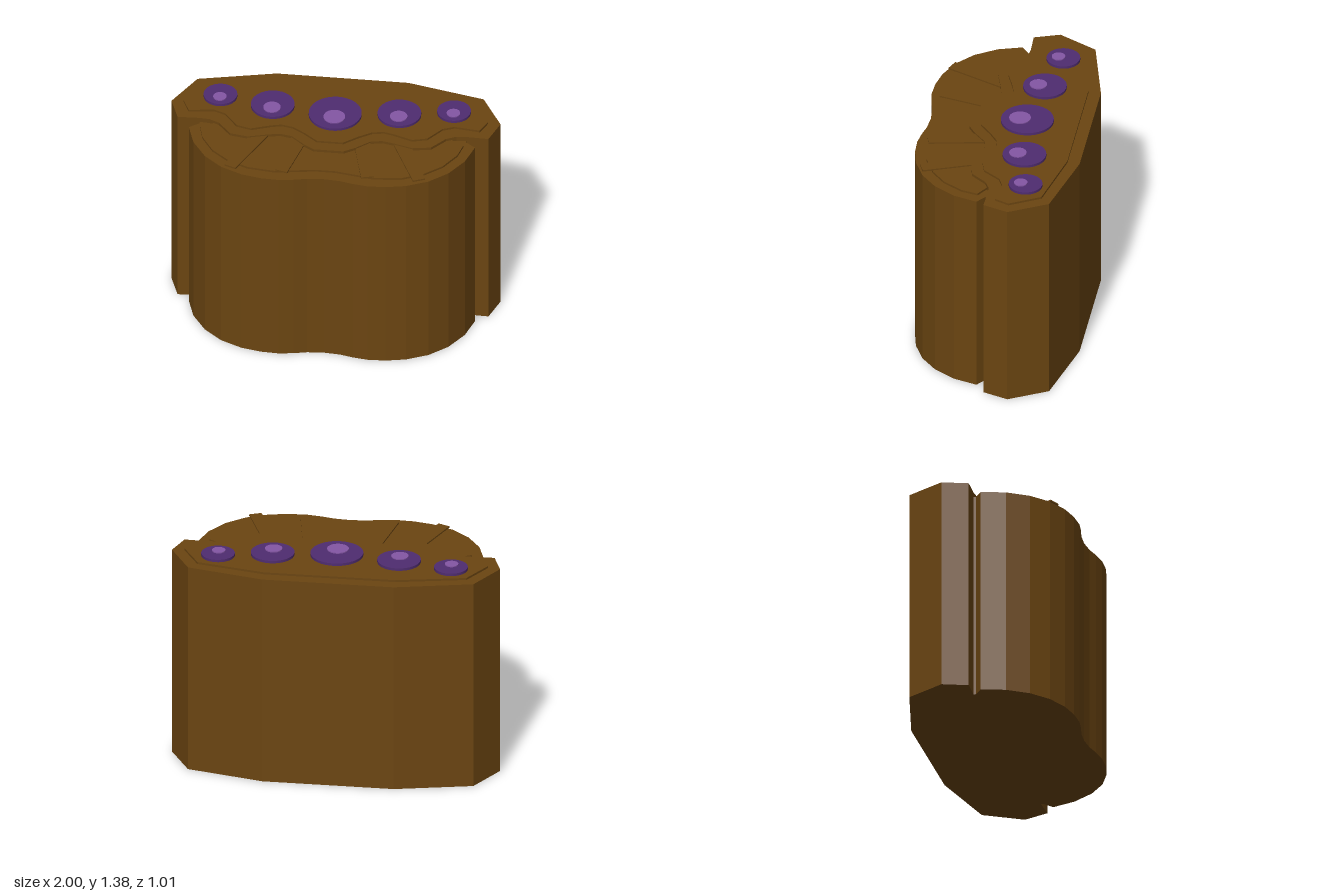
import * as THREE from 'three';

// Extrude a plan outline of [x, z] points between two heights
function slab(points, y0, y1) {
  const shape = new THREE.Shape(points.map(([x, z]) => new THREE.Vector2(x, -z)));
  const geo = new THREE.ExtrudeGeometry(shape, { depth: y1 - y0, bevelEnabled: false });
  geo.rotateX(-Math.PI / 2);
  geo.translate(0, y0, 0);
  return geo;
}

// Complete a right-half outline (listed back to front) by mirroring it across x = 0
function mirrored(half) {
  const other = half.filter(([x]) => x !== 0).map(([x, z]) => [-x, z]).reverse();
  return [...half, ...other];
}

export function createModel() {
  const group = new THREE.Group();
  const brown = new THREE.MeshStandardMaterial({ color: 0x6b4511, flatShading: true });
  brown.name = 'brown';
  const purple = new THREE.MeshStandardMaterial({ color: 0x4f2c70 });
  purple.name = 'deep purple';
  const lilac = new THREE.MeshStandardMaterial({ color: 0x8456a4 });
  lilac.name = 'lilac';

  const add = (name, geo, mat) => {
    const mesh = new THREE.Mesh(geo, mat);
    mesh.name = name;
    group.add(mesh);
    return mesh;
  };

  // Body: faceted back, side notches and a double-lobed front
  const back = [[0.4, -0.51], [0.87, -0.4], [1, -0.165], [0.945, -0.01], [0.81, -0.015]];
  const front = [[0.81, 0], [0.87, 0.045], [0.825, 0.19], [0.74, 0.32], [0.63, 0.415],
    [0.5, 0.475], [0.38, 0.5], [0.27, 0.505], [0.18, 0.492], [0.1, 0.473], [0, 0.465]];
  add('body', slab(mirrored([...back, ...front]), 0, 1.315), brown);

  // Raised back step with a wavy front edge
  add('backStep', slab(mirrored([...back, [0.75, -0.01], [0.69, 0.02], [0.61, 0.115],
    [0.5, 0.135], [0.38, 0.1], [0.31, 0.085], [0.24, 0.1], [0.16, 0.17], [0.09, 0.215]]),
  1.31, 1.345), brown);

  // Thin inset band on the back step
  add('band', slab(mirrored([[0.4, -0.435], [0.82, -0.345], [0.925, -0.16], [0.885, -0.07],
    [0.73, -0.09], [0.66, -0.06], [0.58, 0.045], [0.49, 0.07], [0.37, 0.025], [0.31, 0.01],
    [0.24, 0.025], [0.165, 0.075], [0.08, 0.145]]), 1.34, 1.358), brown);

  // Thin inset plate on the front
  add('frontPlate', slab(mirrored([[0.7, -0.01], [0.8, 0.05], [0.775, 0.15], [0.7, 0.27],
    [0.6, 0.355], [0.47, 0.415], [0.3, 0.435], [0.15, 0.41], [0.06, 0.395]]), 1.31, 1.328), brown);

  // Four straps running from the step to the front rim
  const straps = [
    ['innerStrap', [[0.155, 0.165], [0.24, 0.095], [0.3, 0.43], [0.225, 0.45]]],
    ['outerStrap', [[0.38, 0.095], [0.5, 0.13], [0.61, 0.415], [0.54, 0.445]]],
  ];
  for (const [name, pts] of straps) {
    add(name + 'Left', slab(pts, 1.327, 1.337), brown);
    add(name + 'Right', slab(pts.map(([x, z]) => [-x, z]), 1.327, 1.337), brown);
  }

  // Round gems, each with a pale highlight disc
  const gem = (x, z, r, hz, hr) => {
    add('gem', new THREE.CylinderGeometry(r, r, 0.017, 40), purple).position.set(x, 1.3655, z);
    add('gemHighlight', new THREE.CylinderGeometry(hr, hr, 0.007, 28), lilac)
      .position.set(x, 1.3765, hz);
  };
  gem(0, -0.125, 0.16, -0.08, 0.066);
  for (const s of [-1, 1]) {
    gem(s * 0.385, -0.17, 0.132, -0.13, 0.053);
    gem(s * 0.71, -0.23, 0.102, -0.2, 0.041);
  }
  return group;
}
